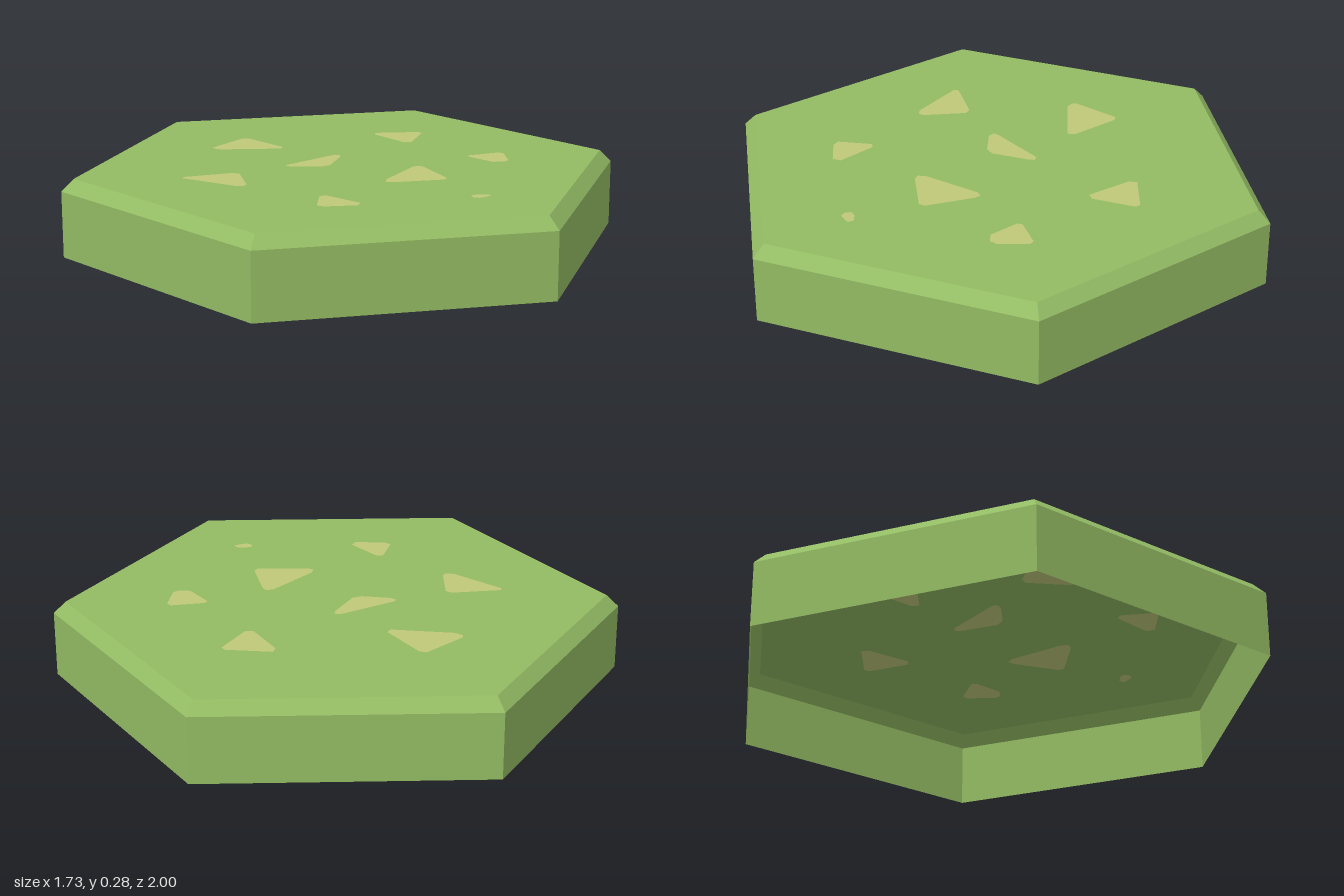
import * as THREE from 'three';

const WALL_TOP = 0.235, TOP = 0.278, RIM = 0.956;

// outlines of the sandy patches, as [x, z] corners
const PATCHES = [
  [[-0.185, -0.505], [-0.175, -0.52], [0, -0.56], [0.016, -0.54], [0.016, -0.35], [-0.005, -0.335], [-0.175, -0.475]],
  [[-0.55, -0.23], [-0.535, -0.24], [-0.375, -0.17], [-0.365, -0.145], [-0.445, -0.013], [-0.465, -0.003], [-0.487, -0.024]],
  [[0.407, -0.267], [0.429, -0.288], [0.557, -0.188], [0.557, -0.167], [0.423, -0.087], [0.397, -0.098]],
  [[-0.17, -0.124], [-0.153, -0.13], [0.07, -0.13], [0.083, -0.112], [0.063, -0.093], [-0.048, -0.024], [-0.085, -0.029], [-0.164, -0.098]],
  [[-0.074, 0.283], [-0.053, 0.262], [0.148, 0.193], [0.174, 0.198], [0.174, 0.225], [0.116, 0.389], [0.095, 0.4], [-0.063, 0.304]],
  [[-0.46, 0.357], [-0.37, 0.272], [-0.349, 0.283], [-0.333, 0.431], [-0.36, 0.447], [-0.45, 0.384]],
  [[0.402, 0.22], [0.418, 0.209], [0.529, 0.251], [0.534, 0.272], [0.466, 0.357], [0.439, 0.362], [0.407, 0.336]],
  [[-0.01, 0.632], [0, 0.611], [0.026, 0.616], [0.053, 0.638], [0.048, 0.659], [0, 0.653]],
];

const toPoints = (outline) => outline.map(([x, z]) => new THREE.Vector2(x, -z));

export function createModel() {
  const model = new THREE.Group();
  model.name = 'hexTile';

  const look = { side: THREE.DoubleSide, flatShading: true };
  const grass = new THREE.MeshStandardMaterial({ color: 0x93bb63, ...look });
  grass.name = 'grass green';
  const sand = new THREE.MeshStandardMaterial({ color: 0xc0c878, ...look });
  sand.name = 'sandy yellow';

  const add = (name, geometry, material, y) => {
    const mesh = new THREE.Mesh(geometry, material);
    mesh.name = name;
    mesh.position.y = y;
    model.add(mesh);
  };

  // open-bottomed shell: upright walls and a sloping rim
  add('walls', new THREE.CylinderGeometry(1, 1, WALL_TOP, 6, 1, true), grass, WALL_TOP / 2);
  add('bevelledRim', new THREE.CylinderGeometry(RIM, 1, TOP - WALL_TOP, 6, 1, true), grass, (WALL_TOP + TOP) / 2);

  // top sheet, with openings that the patches fill flush
  const hexagon = Array.from({ length: 6 }, (_, i) => {
    const a = Math.PI / 2 + (i * Math.PI) / 3;
    return new THREE.Vector2(RIM * Math.cos(a), RIM * Math.sin(a));
  });
  const sheet = new THREE.Shape(hexagon);
  sheet.holes = PATCHES.map((outline) => new THREE.Path(toPoints(outline)));
  add('topSheet', new THREE.ShapeGeometry(sheet).rotateX(-Math.PI / 2), grass, TOP);

  // sandy patches, seen from above and from inside the shell
  PATCHES.forEach((outline, i) => {
    const patch = new THREE.ShapeGeometry(new THREE.Shape(toPoints(outline)));
    add(`sandPatch${i + 1}`, patch.rotateX(-Math.PI / 2), sand, TOP);
  });

  return model;
}
